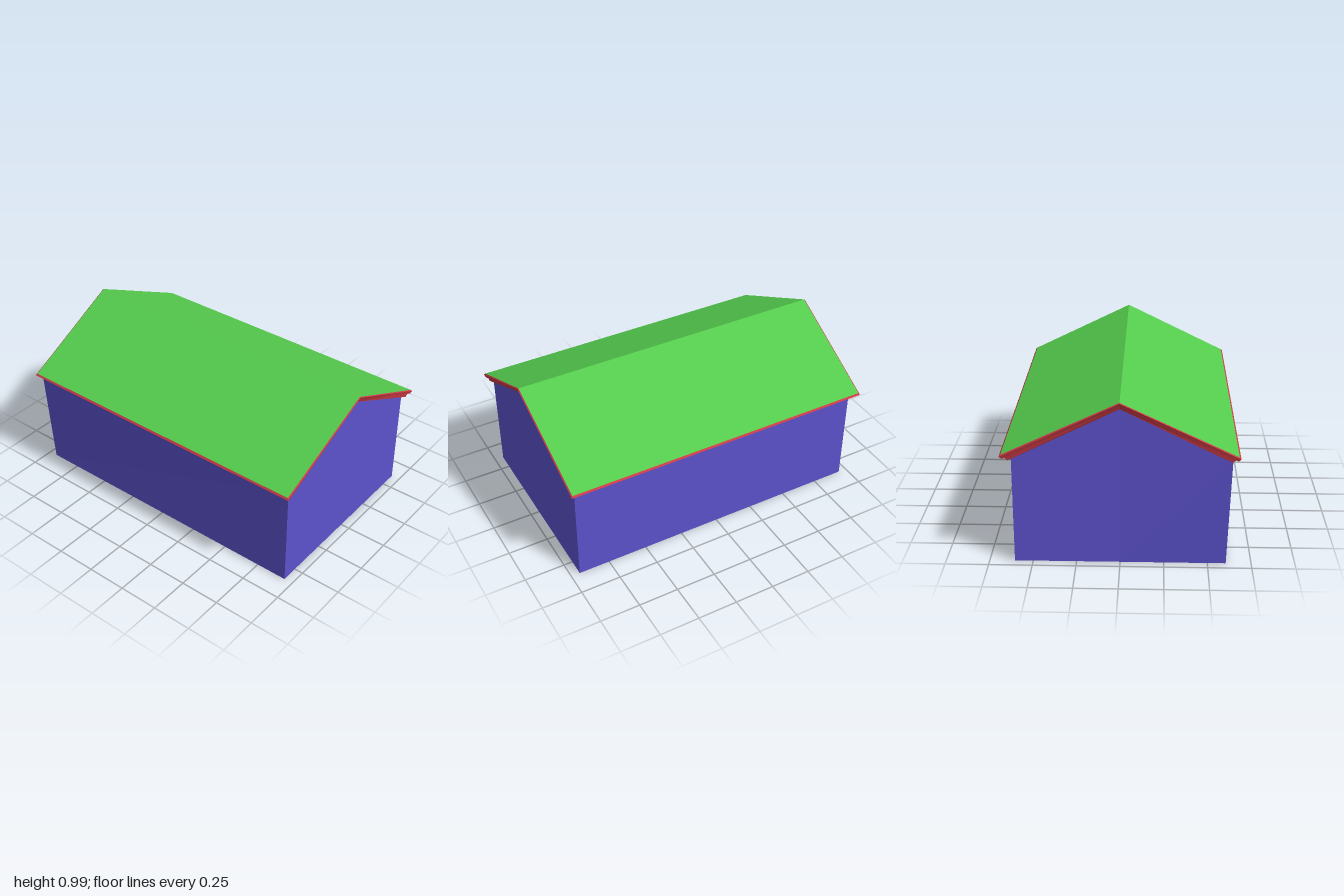
import * as THREE from 'three';

const mat = (name, color) => new THREE.MeshStandardMaterial({ name, color });

// Mesh from convex polygons (corners counter-clockwise from outside), flat normals
function polyMesh(name, polygons, material) {
  const pos = [];
  for (const p of polygons)
    for (let i = 1; i < p.length - 1; i++) pos.push(...p[0], ...p[i], ...p[i + 1]);
  const g = new THREE.BufferGeometry();
  g.setAttribute('position', new THREE.Float32BufferAttribute(pos, 3));
  g.computeVertexNormals();
  const mesh = new THREE.Mesh(g, material);
  mesh.name = name;
  return mesh;
}

// Outline of the gabled roof at one step of the moulding
const ring = ([x, eaveY, ridgeY, eaveZ, ridgeZ]) => [
  [-x, eaveY, eaveZ], [0, ridgeY, ridgeZ], [x, eaveY, eaveZ],
  [x, eaveY, -eaveZ], [0, ridgeY, -ridgeZ], [-x, eaveY, -eaveZ],
];

export function createModel() {
  const group = new THREE.Group();
  const green = mat('roof green', 0x55cc4d);
  const red = mat('trim red', 0xcc3a45);
  const blue = mat('wall blue', 0x5c52cc);

  // Roof rings from the top surface down to the wall head
  const rings = [
    [0.658, 0.674, 0.992, 0.977, 0.994],
    [0.667, 0.664, 0.988, 0.984, 1.0],
    [0.652, 0.65, 0.97, 0.979, 0.99],
    [0.642, 0.655, 0.968, 0.97, 0.98],
    [0.622, 0.635, 0.946, 0.965, 0.97],
    [0.605, 0.645, 0.946, 0.945, 0.945],
  ].map(ring);

  // Roof slopes
  const top = rings[0];
  group.add(polyMesh('roof', [[0, 1, 4, 5], [1, 2, 3, 4]].map(f => f.map(i => top[i])), green));

  // Stepped moulding around eaves and gables
  const trim = [];
  for (let k = 0; k < rings.length - 1; k++)
    for (let i = 0; i < 6; i++) {
      const j = (i + 1) % 6, up = rings[k], low = rings[k + 1];
      trim.push([low[i], low[j], up[j], up[i]]);
    }
  group.add(polyMesh('roofTrim', trim, red));

  // Walls; the back corner on the right side flares out at its head
  const w = 0.605, z = 0.945, e = 0.645, r = 0.946;
  const flare = [-0.624, 0.637, -0.967], mid = [0, 0.64, -z], foot = [0, 0, -z];
  group.add(polyMesh('frontWall', [[[-w, 0, z], [w, 0, z], [w, e, z], [0, r, z], [-w, e, z]]], blue));
  group.add(polyMesh('leftWall', [[[w, 0, z], [w, 0, -z], [w, e, -z], [w, e, z]]], blue));
  group.add(polyMesh('rightWall', [[[-w, 0, -z], [-w, 0, z], [-w, e, z], flare]], blue));
  group.add(polyMesh('backWall', [
    [[w, 0, -z], foot, [0, r, -z], [w, e, -z]],
    [foot, [-w, 0, -z], flare, mid],
    [mid, flare, [0, r, -z]],
  ], blue));

  // Underside
  group.add(polyMesh('floor', [[[-w, 0, -z], [w, 0, -z], [w, 0, z], [-w, 0, z]]], red));
  return group;
}
